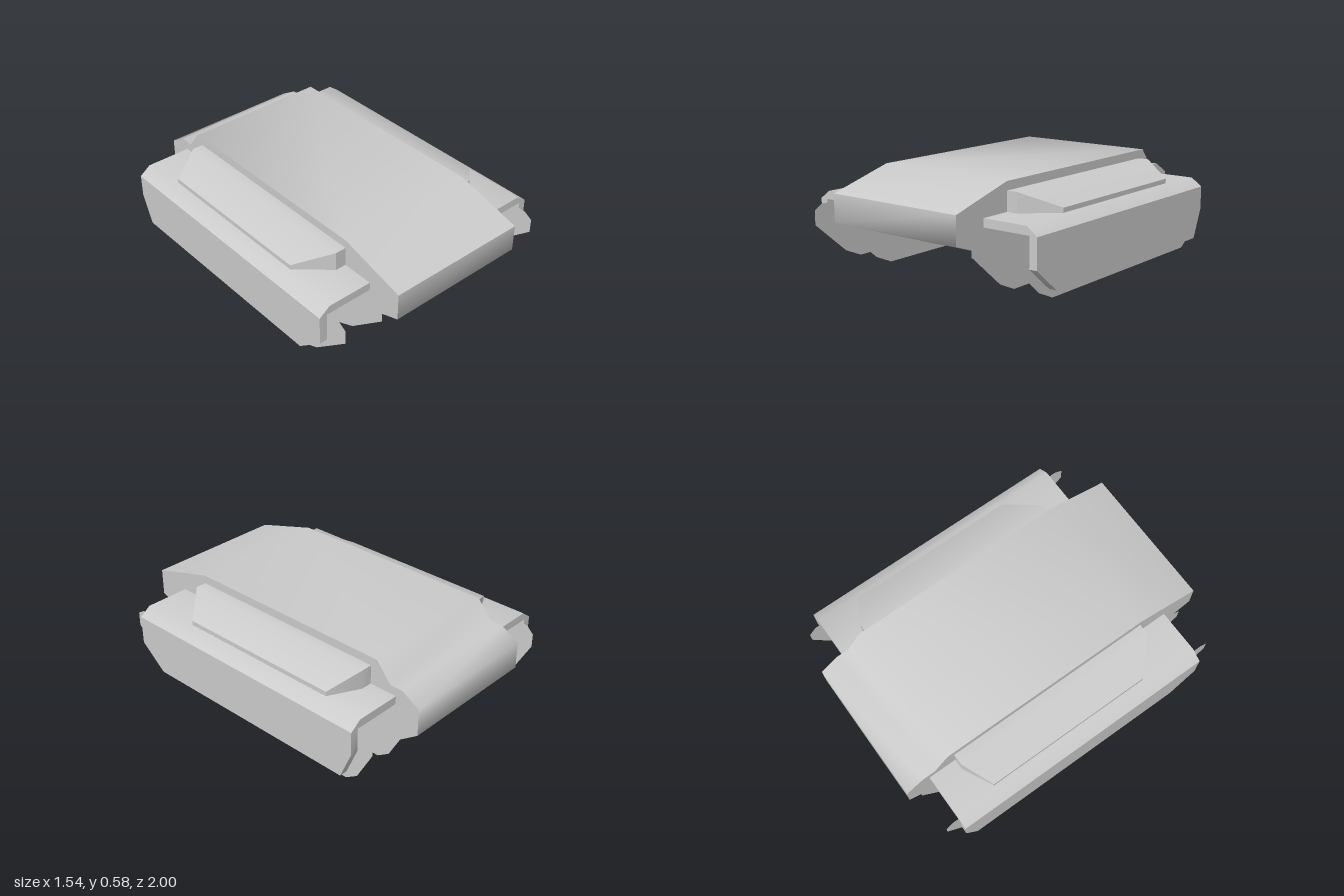
import * as THREE from 'three';
import { toCreasedNormals } from 'three/addons/utils/BufferGeometryUtils.js';
import { ConvexGeometry } from 'three/addons/geometries/ConvexGeometry.js';

const material = new THREE.MeshStandardMaterial({ color: 0xcccccc });
const thin = new THREE.MeshStandardMaterial({ color: 0xcccccc, side: THREE.DoubleSide });

const shapeOf = (points) => new THREE.Shape(points.map(([a, b]) => new THREE.Vector2(a, b)));

// Extrude a side profile given as [z, y] across x, from x0 to x1
function acrossX(points, x0, x1) {
  const g = new THREE.ExtrudeGeometry(shapeOf(points), { depth: x1 - x0, bevelEnabled: false });
  g.rotateY(-Math.PI / 2).translate(x1, 0, 0);
  return g;
}

// Extrude a front profile given as [x, y] along z, from z0 to z1
function alongZ(points, z0, z1) {
  const g = new THREE.ExtrudeGeometry(shapeOf(points), { depth: z1 - z0, bevelEnabled: false });
  return g.translate(0, 0, z0);
}

export function createModel() {
  const model = new THREE.Group();
  const add = (name, geometry, mat = material) => {
    const mesh = new THREE.Mesh(geometry, mat);
    mesh.name = name;
    model.add(mesh);
  };

  // Central hull: wedge nose, flat deck, stepped tail
  const hull = [
    [1, 0.31], [1, 0.47], [0.6, 0.58], [-0.72, 0.58], [-0.81, 0.47], [-0.89, 0.47],
    [-1, 0.405], [-1, 0.245], [-0.89, 0.165], [0.58, 0.165],
  ];
  add('hull', toCreasedNormals(acrossX(hull, -0.433, 0.433), 1.25));

  // Outline shared by the thin track plates
  const track = [
    [0.905, 0.325], [0.855, 0.355], [-0.885, 0.355], [-0.93, 0.31], [-0.93, 0.23],
    [-0.83, 0.05], [-0.755, 0], [0.565, 0], [0.68, 0.05], [0.905, 0.24],
  ];

  // Side skirt below the fender, cut away at its lower corners
  const skirt = [
    [0.79, 0.37], [-0.85, 0.37], [-0.85, 0.235], [-0.778, 0.065], [0.627, 0.065], [0.79, 0.2],
  ];

  for (const s of [1, -1]) {
    const side = s > 0 ? 'left' : 'right';

    // Fender shelf with a sloped outer edge
    const fender = [[0.42, 0.37], [0.77, 0.37], [0.705, 0.418], [0.42, 0.418]];
    add(side + 'Fender', toCreasedNormals(alongZ(fender.map(([x, y]) => [s * x, y]), -0.85, 0.79), 0.8));

    add(side + 'Skirt', toCreasedNormals(
      acrossX(skirt, s > 0 ? 0.722 : -0.77, s > 0 ? 0.77 : -0.722), 0.8));

    // Inner and outer track plates
    for (const [name, x] of [['InnerTrackPlate', 0.45], ['OuterTrackPlate', 0.7]]) {
      const g = new THREE.ShapeGeometry(shapeOf(track));
      g.rotateY(-Math.PI / 2).translate(s * x, 0, 0);
      add(side + name, g, thin);
    }

    // Stowage pod on the fender, sloping outward with clipped corners
    const plan = [
      [0.42, 0.6, 0.53], [0.497, 0.6, 0.53], [0.675, 0.44, 0.445],
      [0.675, -0.59, 0.445], [0.497, -0.68, 0.53], [0.42, -0.68, 0.53],
    ];
    const corners = plan.flatMap(([x, z, top]) => [
      new THREE.Vector3(s * x, top, z), new THREE.Vector3(s * x, 0.41, z)]);
    add(side + 'Pod', toCreasedNormals(new ConvexGeometry(corners), 0.6));
  }
  return model;
}
